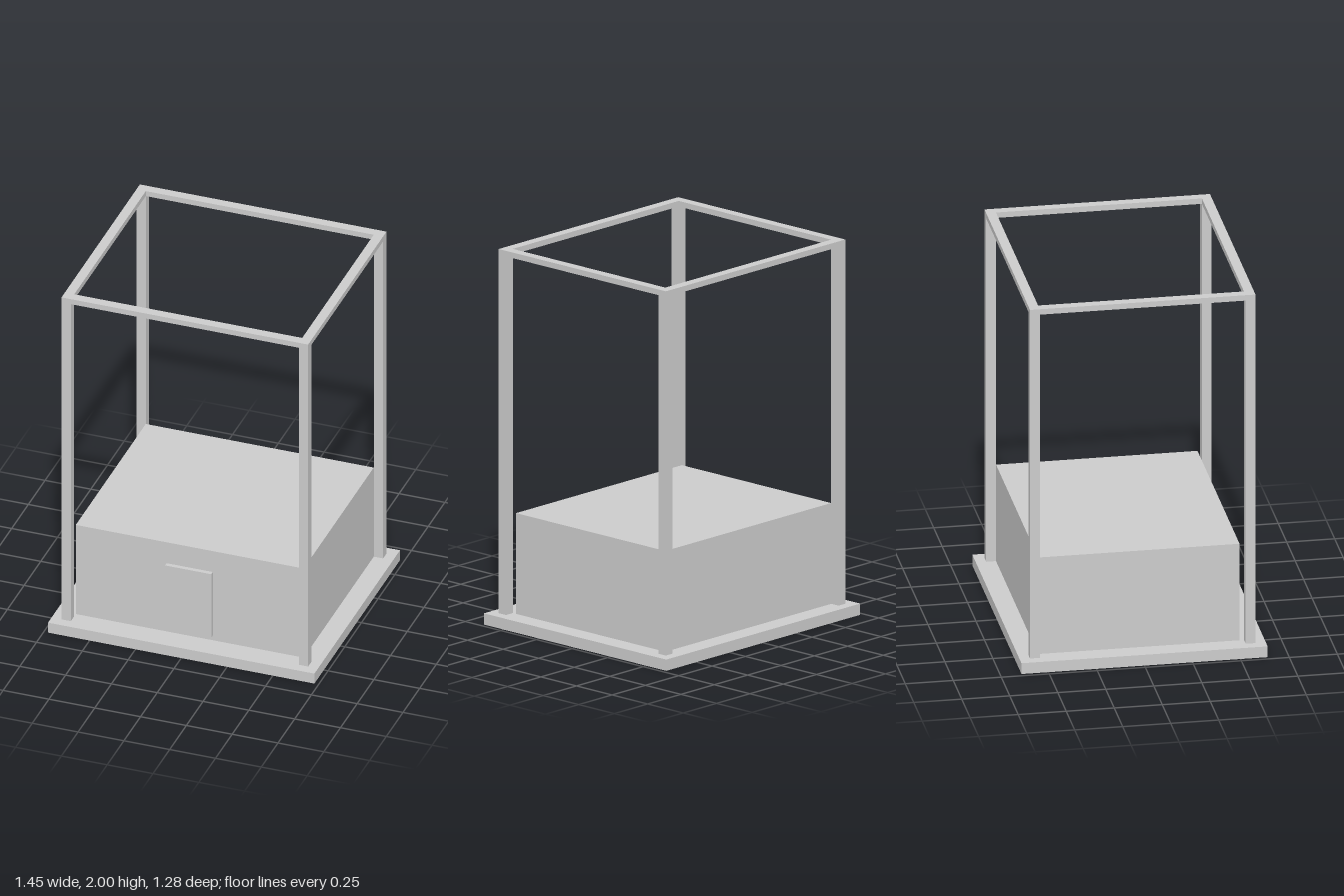
import * as THREE from 'three';

export function createModel() {
  const model = new THREE.Group();
  const material = new THREE.MeshStandardMaterial({ color: 0xcccccc, flatShading: true });

  // Box given by its lower and upper limits on each axis
  function block(name, [x0, x1], [y0, y1], [z0, z1]) {
    const mesh = new THREE.Mesh(new THREE.BoxGeometry(x1 - x0, y1 - y0, z1 - z0), material);
    mesh.name = name;
    mesh.position.set((x0 + x1) / 2, (y0 + y1) / 2, (z0 + z1) / 2);
    model.add(mesh);
  }

  const baseTop = 0.06, railBottom = 1.97, top = 2;
  const outX = 0.673, inX = 0.622; // frame limits across
  const outZ = 0.587, inZ = 0.536; // frame limits in depth

  // Base slab, cabinet and raised door panel
  block('base', [-0.727, 0.727], [0, baseTop], [-0.641, 0.641]);
  block('cabinet', [-inX, inX], [baseTop, 0.597], [-inZ, 0.513]);
  block('doorPanel', [-0.126, 0.126], [0.088, 0.471], [0.513, inZ]);

  // Four corner posts
  for (const [sideX, x] of [['left', [inX, outX]], ['right', [-outX, -inX]]]) {
    for (const [sideZ, z] of [['Front', [inZ, outZ]], ['Back', [-outZ, -inZ]]]) {
      block(`${sideX}${sideZ}Post`, x, [baseTop, railBottom], z);
    }
  }

  // Top frame: one ring with a rectangular opening
  const ring = new THREE.Shape([
    new THREE.Vector2(-outX, -outZ), new THREE.Vector2(outX, -outZ),
    new THREE.Vector2(outX, outZ), new THREE.Vector2(-outX, outZ),
  ]);
  ring.holes.push(new THREE.Path([
    new THREE.Vector2(-inX, -inZ), new THREE.Vector2(-inX, inZ),
    new THREE.Vector2(inX, inZ), new THREE.Vector2(inX, -inZ),
  ]));
  const frameGeometry = new THREE.ExtrudeGeometry(ring, { depth: top - railBottom, bevelEnabled: false });
  frameGeometry.rotateX(-Math.PI / 2);
  const frame = new THREE.Mesh(frameGeometry, material);
  frame.name = 'topFrame';
  frame.position.y = railBottom;
  model.add(frame);

  return model;
}
